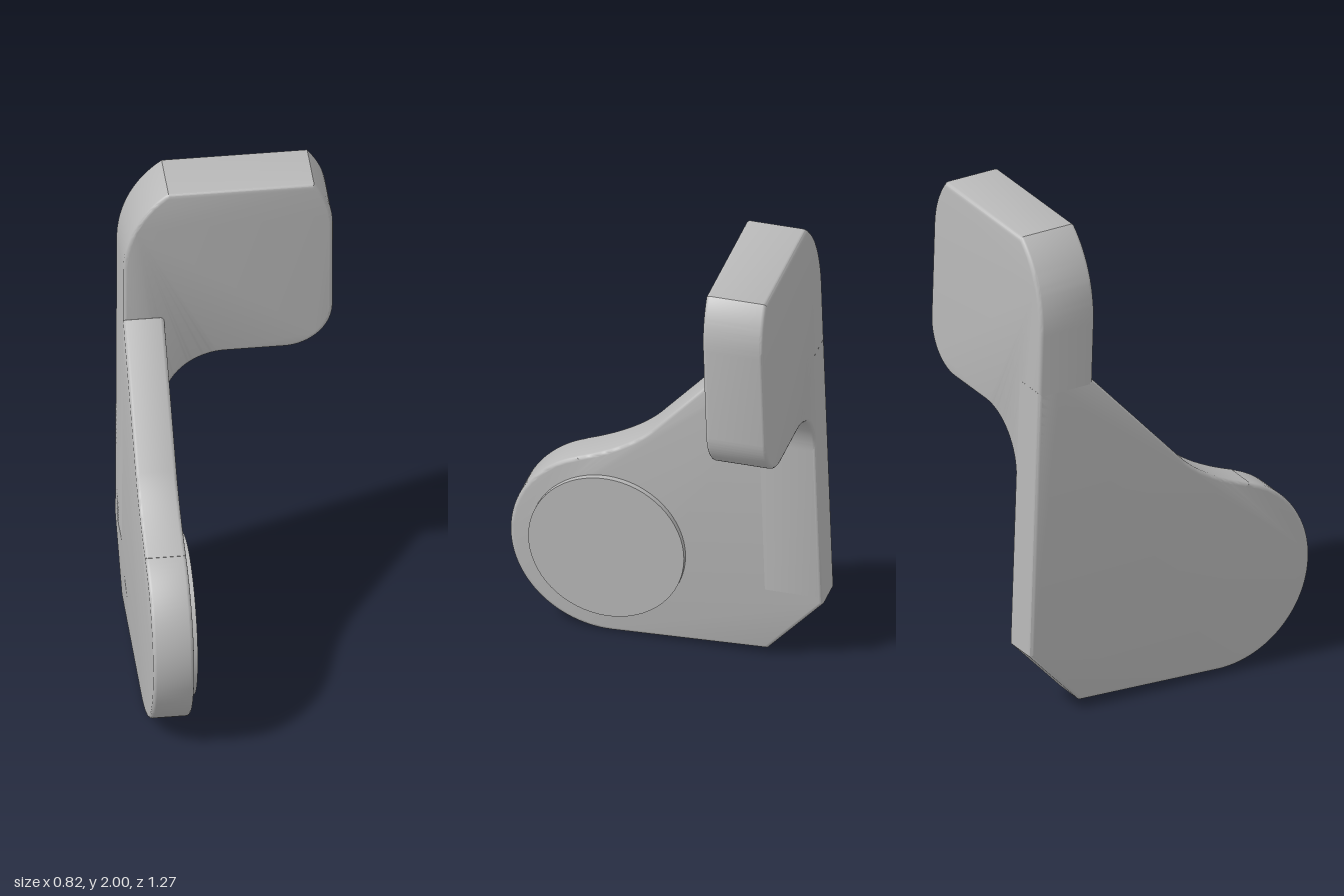
import * as THREE from 'three';
import { toCreasedNormals } from 'three/addons/utils/BufferGeometryUtils.js';

const BEVEL = 0.015;
const LEAN = 0.032; // backward slope of the rear face

// Extrude an outline to an exact thickness with rounded edges, centred on depth
function roundedSlab(shape, thickness) {
  const depth = thickness - 2 * BEVEL;
  const geo = new THREE.ExtrudeGeometry(shape, {
    depth, curveSegments: 24, bevelEnabled: true, bevelSegments: 3,
    bevelSize: BEVEL, bevelThickness: BEVEL, bevelOffset: -BEVEL,
  });
  return geo.translate(0, 0, -depth / 2);
}

function addPart(group, name, geometry, material) {
  const mesh = new THREE.Mesh(geometry, material);
  mesh.name = name;
  group.add(mesh);
}

export function createModel() {
  const model = new THREE.Group();
  model.name = 'leverBracket';
  const grey = new THREE.MeshStandardMaterial({ color: 0xb8b8b8 });
  grey.name = 'plain grey';

  // Side plate, outlined in z and y, with a round front lobe
  const side = new THREE.Shape();
  side.moveTo(-0.5, 1.4);
  side.lineTo(-0.345, 1.4);
  side.lineTo(0.06, 0.955);
  side.quadraticCurveTo(0.16, 0.847, 0.369, 0.772);
  side.absarc(0.24, 0.396, 0.396, 1.24, -Math.PI / 2 - 0.04, true);
  side.lineTo(-0.405, 0.028);
  side.lineTo(-0.63, 0.27);
  side.lineTo(-0.591, 1.4);
  const plate = roundedSlab(side, 0.16).rotateY(-Math.PI / 2).translate(-0.33, 0, 0);
  addPart(model, 'sidePlate', toCreasedNormals(plate, 0.6), grey);

  // Upper pad with its curved neck, whose stem runs down inside the plate
  const face = new THREE.Shape();
  face.moveTo(-0.41, 0.3);
  face.lineTo(-0.41, 1.64);
  face.bezierCurveTo(-0.41, 1.79, -0.345, 1.92, -0.235, 2);
  face.lineTo(0.335, 2);
  face.quadraticCurveTo(0.41, 1.91, 0.41, 1.79);
  face.lineTo(0.41, 1.4);
  face.absarc(0.22, 1.4, 0.19, 0, -Math.PI / 2, true);
  face.lineTo(-0.01, 1.21);
  face.absarc(-0.01, 0.97, 0.24, Math.PI / 2, Math.PI, false);
  face.lineTo(-0.25, 0.3);
  const pad = roundedSlab(face, 0.245);
  const pos = pad.attributes.position;
  for (let i = 0; i < pos.count; i++) {
    pos.setZ(i, pos.getZ(i) - 0.449 - LEAN * (2 - pos.getY(i)));
  }
  pad.computeVertexNormals();
  addPart(model, 'upperPad', toCreasedNormals(pad, 0.6), grey);

  // Raised round boss on the inner face of the plate
  const boss = new THREE.CylinderGeometry(0.315, 0.315, 0.04, 64)
    .rotateZ(Math.PI / 2).translate(-0.247, 0.396, 0.24);
  addPart(model, 'pivotBoss', boss, grey);

  return model;
}
